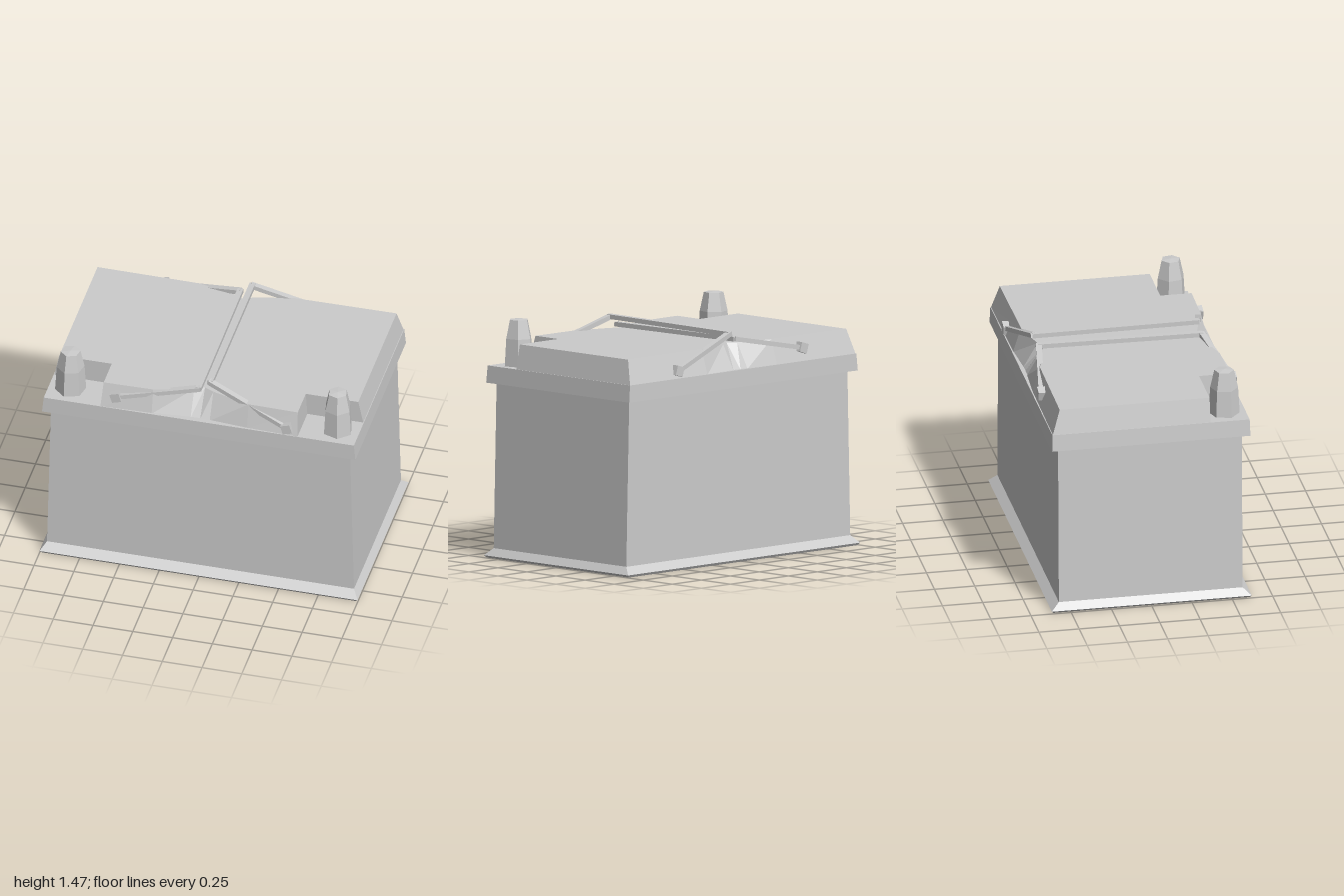
import * as THREE from 'three';

const material = new THREE.MeshStandardMaterial({ color: 0xcccccc, flatShading: true, side: THREE.DoubleSide });

function addMesh(parent, name, geometry) {
  const mesh = new THREE.Mesh(geometry, material);
  mesh.name = name;
  parent.add(mesh);
  return mesh;
}

// Skin between rings of equal length; each ring is { y, pts: [[x, z], ...] }, running front, +x, back, -x
function loft(rings) {
  const n = rings[0].pts.length;
  const positions = [];
  const index = [];
  rings.forEach(({ y, pts }) => pts.forEach(([x, z]) => positions.push(x, y, z)));
  for (let r = 0; r < rings.length - 1; r++) {
    for (let i = 0; i < n; i++) {
      const a = r * n + i, b = r * n + (i + 1) % n;
      index.push(a, b, b + n, a, b + n, a + n);
    }
  }
  const cap = (ring, offset, flip) => {
    const outline = ring.pts.map(([x, z]) => new THREE.Vector2(x, -z));
    for (const [a, b, c] of THREE.ShapeUtils.triangulateShape(outline, [])) {
      index.push(offset + a, offset + (flip ? c : b), offset + (flip ? b : c));
    }
  };
  cap(rings[0], 0, true);
  cap(rings[rings.length - 1], (rings.length - 1) * n, false);
  const geometry = new THREE.BufferGeometry();
  geometry.setAttribute('position', new THREE.Float32BufferAttribute(positions, 3));
  geometry.setIndex(index);
  const flat = geometry.toNonIndexed();
  flat.computeVertexNormals();
  return flat;
}

const rect = (y, x, z) => ({ y, pts: [[-x, z], [x, z], [x, -z], [-x, -z]] });

// Full outline from its +x half, whose first and last points lie on x = 0
function mirrored(y, half) {
  const other = half.slice(1, -1).reverse().map(([x, z]) => [-x, z]);
  return { y, pts: [...half, ...other] };
}

// Strap bars with a rectangular section along a polyline
function addStrap(parent, name, points, width, height) {
  const strap = new THREE.Group();
  strap.name = name;
  for (let i = 0; i < points.length - 1; i++) {
    const a = new THREE.Vector3(...points[i]), b = new THREE.Vector3(...points[i + 1]);
    const bar = addMesh(strap, 'strapBar', new THREE.BoxGeometry(width, height, a.distanceTo(b) + 0.015));
    bar.position.copy(a).lerp(b, 0.5);
    bar.lookAt(b);
  }
  // Pivot lugs at both ends
  for (const p of [points[0], points[points.length - 1]]) {
    const lug = addMesh(strap, 'strapLug', new THREE.BoxGeometry(0.06, 0.06, 0.05));
    lug.position.set(...p);
    lug.rotation.z = 0.3;
  }
  parent.add(strap);
}

export function createModel() {
  const model = new THREE.Group();
  model.name = 'battery';

  // Tapered case with a flared foot
  addMesh(model, 'case', loft([
    rect(0, 0.985, 0.61), rect(0.015, 1, 0.62), rect(0.06, 0.965, 0.57), rect(1.09, 0.94, 0.57),
  ]));

  // Overhanging rim of the lid
  addMesh(model, 'lidRim', loft([rect(1.075, 0.985, 0.615), rect(1.18, 0.975, 0.612)]));

  // Raised lid with terminal notches and a V-shaped recess front and back
  addMesh(model, 'lidTop', loft([
    mirrored(1.175, [[0, 0.58], [0.06, 0.58], [0.3, 0.6], [0.62, 0.61], [0.62, 0.37],
      [0.972, 0.37], [0.972, -0.61], [0.3, -0.605], [0.06, -0.59], [0, -0.59]]),
    mirrored(1.33, [[0, 0.46], [0.06, 0.49], [0.3, 0.56], [0.61, 0.565], [0.61, 0.37],
      [0.94, 0.37], [0.94, -0.56], [0.3, -0.555], [0.06, -0.5], [0, -0.47]]),
  ]));

  // Faceted terminal posts
  for (const side of [1, -1]) {
    const profile = [[0.095, 0], [0.085, 0.17], [0.06, 0.285], [0, 0.29]].map(p => new THREE.Vector2(...p));
    const post = addMesh(model, side > 0 ? 'leftTerminal' : 'rightTerminal', new THREE.LatheGeometry(profile, 6));
    post.position.set(side * 0.84, 1.178, 0.48);
    post.rotation.y = side * 0.2;
  }

  // Two carrying straps folded over the lid
  addStrap(model, 'leftStrap',
    [[0.55, 1.225, 0.595], [0.04, 1.4, 0.49], [0.04, 1.395, -0.53], [0.55, 1.225, -0.595]], 0.036, 0.028);
  addStrap(model, 'rightStrap',
    [[-0.525, 1.26, 0.59], [-0.03, 1.345, 0.5], [-0.03, 1.355, -0.51], [-0.525, 1.26, -0.59]], 0.036, 0.028);

  return model;
}
